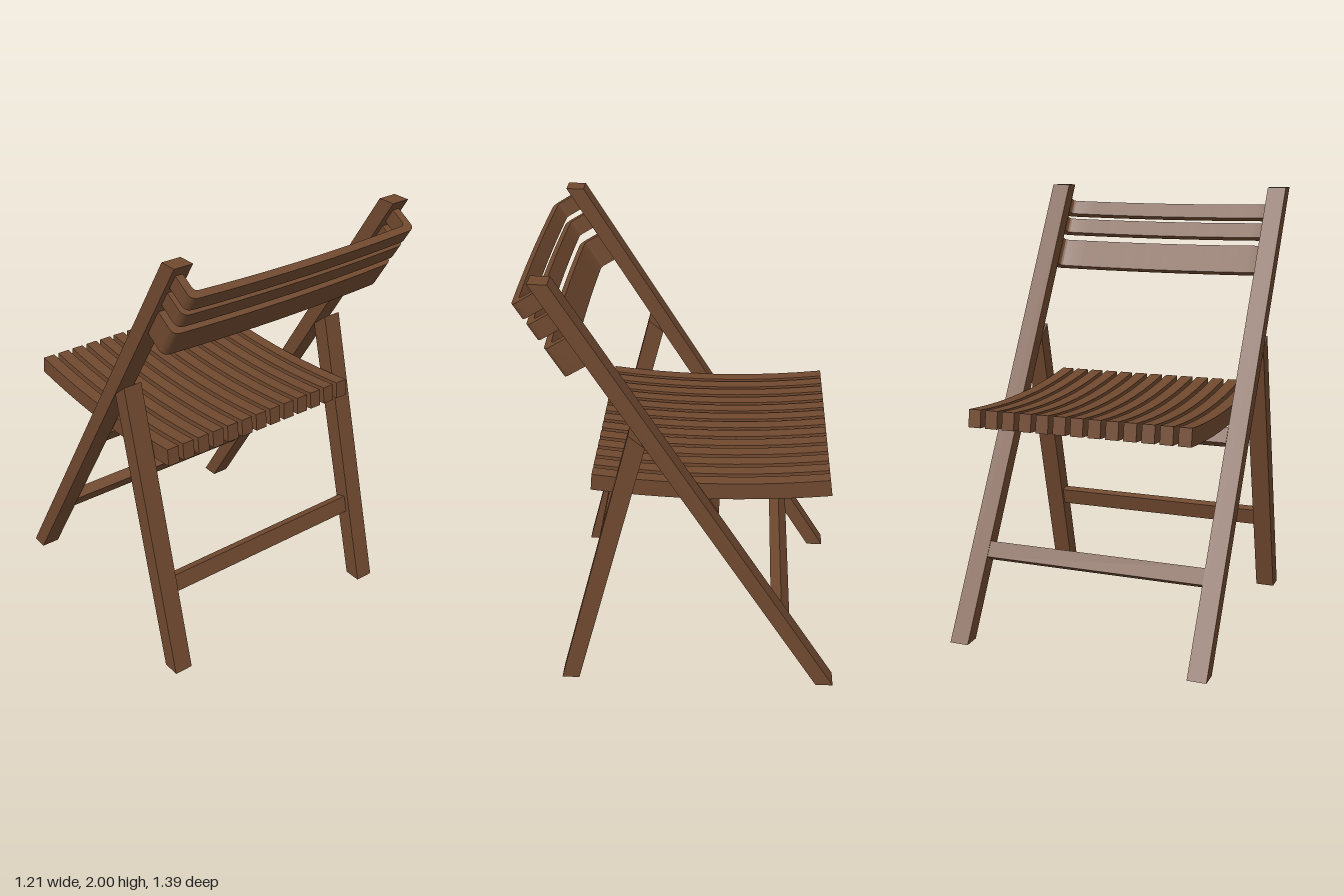
import * as THREE from 'three';
import { toCreasedNormals } from 'three/addons/utils/BufferGeometryUtils.js';

const wood = new THREE.MeshStandardMaterial({ color: 0x70492f });
wood.name = 'brown wood';

const SLOPE = 0.61;               // z gained per unit of height along the long legs
const LEAN = Math.atan(SLOPE);
const LEG_X = 0.56, LEG_W = 0.087;

function addMesh(parent, name, geometry) {
  const mesh = new THREE.Mesh(geometry, wood);
  mesh.name = name;
  parent.add(mesh);
  return mesh;
}

function extrude(shape, depth) {
  const geo = new THREE.ExtrudeGeometry(shape, { depth, bevelEnabled: false, curveSegments: 10 });
  return toCreasedNormals(geo, 0.6);
}

// Side profile drawn in (z, y), given a width along x and centred on x = 0
function sideProfile(shape, width) {
  return extrude(shape, width).translate(0, 0, -width / 2).rotateY(-Math.PI / 2);
}

function polygon(points) {
  return new THREE.Shape(points.map(([z, y]) => new THREE.Vector2(z, y)));
}

// Crossbar between a pair of legs, tilted to match them
function addRung(parent, name, y, z, height, thick, tilt) {
  const rung = addMesh(parent, name, new THREE.BoxGeometry(1.036, height, thick));
  rung.position.set(0, y, z);
  rung.rotation.x = tilt;
}

// Back slat seen along the legs: a shallow bow whose ends curl round to the legs
function bowShape() {
  const s = new THREE.Shape();
  s.moveTo(-0.58, -0.002);
  s.lineTo(-0.545, -0.002);
  s.lineTo(-0.545, 0.065);
  s.quadraticCurveTo(-0.545, 0.083, -0.525, 0.085);
  s.quadraticCurveTo(0, 0.111, 0.525, 0.085);
  s.quadraticCurveTo(0.545, 0.083, 0.545, 0.065);
  s.lineTo(0.545, -0.002);
  s.lineTo(0.58, -0.002);
  s.lineTo(0.58, 0.085);
  s.quadraticCurveTo(0.58, 0.115, 0.545, 0.118);
  s.quadraticCurveTo(0, 0.142, -0.545, 0.118);
  s.quadraticCurveTo(-0.58, 0.115, -0.58, 0.085);
  s.closePath();
  return s;
}

export function createModel() {
  const chair = new THREE.Group();
  chair.name = 'foldingChair';

  // Legs: long ones run up to the backrest, short ones butt against them
  const longLeg = sideProfile(polygon([[-0.69, 0], [-0.61, 0], [0.61, 2], [0.53, 2]]), LEG_W);
  const shortLeg = sideProfile(polygon([[0.5, 0], [0.58, 0], [0.235, 1.33], [0.165, 1.27]]), LEG_W);
  for (const [side, x] of [['left', LEG_X], ['right', -LEG_X]]) {
    addMesh(chair, side + 'LongLeg', longLeg).position.x = x;
    addMesh(chair, side + 'ShortLeg', shortLeg).position.x = x;
  }

  // Crossbars
  addRung(chair, 'longLegRung', 0.365, -0.432, 0.075, 0.055, LEAN);
  addRung(chair, 'seatRung', 0.917, -0.1, 0.075, 0.06, LEAN);
  addRung(chair, 'shortLegRung', 0.388, 0.435, 0.08, 0.04, -0.255);

  // Seat: thirteen sagging slats
  const sag = new THREE.Shape();
  sag.moveTo(0.415, 0.998);
  sag.lineTo(0.408, 1.077);
  sag.quadraticCurveTo(-0.107, 1.013, -0.623, 1.077);
  sag.lineTo(-0.634, 0.998);
  sag.quadraticCurveTo(-0.107, 0.934, 0.415, 0.998);
  const slatGeo = sideProfile(sag, 0.057);
  const seat = new THREE.Group();
  seat.name = 'seat';
  for (let i = -6; i <= 6; i++) addMesh(seat, 'seatSlat', slatGeo).position.x = i * 0.08;
  chair.add(seat);

  // Backrest: three bowed slats, placed by distance along the long legs
  const back = new THREE.Group();
  back.name = 'backrest';
  for (const [top, height] of [[2.293, 0.074], [2.19, 0.078], [2.068, 0.144]]) {
    const slat = addMesh(back, 'backSlat', extrude(bowShape(), height));
    slat.rotation.x = Math.PI / 2 + LEAN;
    slat.position.set(0, top * Math.cos(LEAN), -0.61 + top * Math.sin(LEAN));
  }
  chair.add(back);

  return chair;
}
